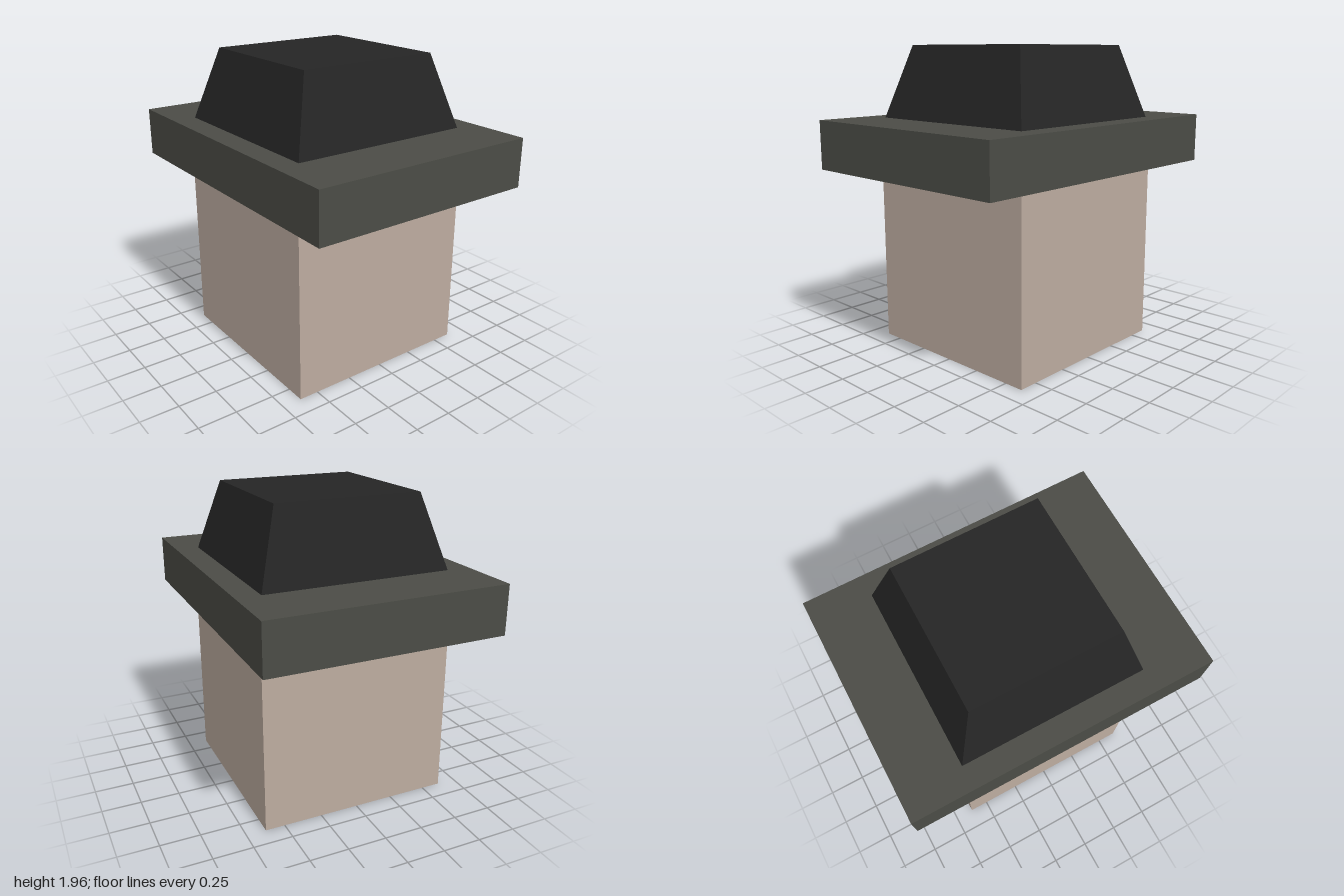
import * as THREE from 'three';

function material(name, color) {
  const m = new THREE.MeshStandardMaterial({ color });
  m.name = name;
  return m;
}

export function createModel() {
  const group = new THREE.Group();
  const beige = material('warm beige', 0xbdaca0);
  const grey = material('olive grey', 0x4b4c46);
  const black = material('soft black', 0x252525);

  // Adds a box between two heights; topScale below 1 tapers it upwards
  function addBlock(name, mat, width, depth, bottom, top, topScale = 1) {
    const height = top - bottom;
    let geometry = new THREE.BoxGeometry(width, height, depth);
    if (topScale !== 1) {
      const p = geometry.attributes.position;
      for (let i = 0; i < p.count; i++) {
        if (p.getY(i) > 0) {
          p.setX(i, p.getX(i) * topScale);
          p.setZ(i, p.getZ(i) * topScale);
        }
      }
      geometry = geometry.toNonIndexed();
      geometry.computeVertexNormals();
    }
    const mesh = new THREE.Mesh(geometry, mat);
    mesh.name = name;
    mesh.position.y = (bottom + top) / 2;
    group.add(mesh);
  }

  // Square base, wide overhanging slab, tapered crown
  addBlock('base', beige, 1.25, 1.25, 0, 1.18);
  addBlock('brim', grey, 2, 1.515, 1.18, 1.495);
  addBlock('crown', black, 1.21, 1.21, 1.495, 1.96, 0.94 / 1.21);

  return group;
}
